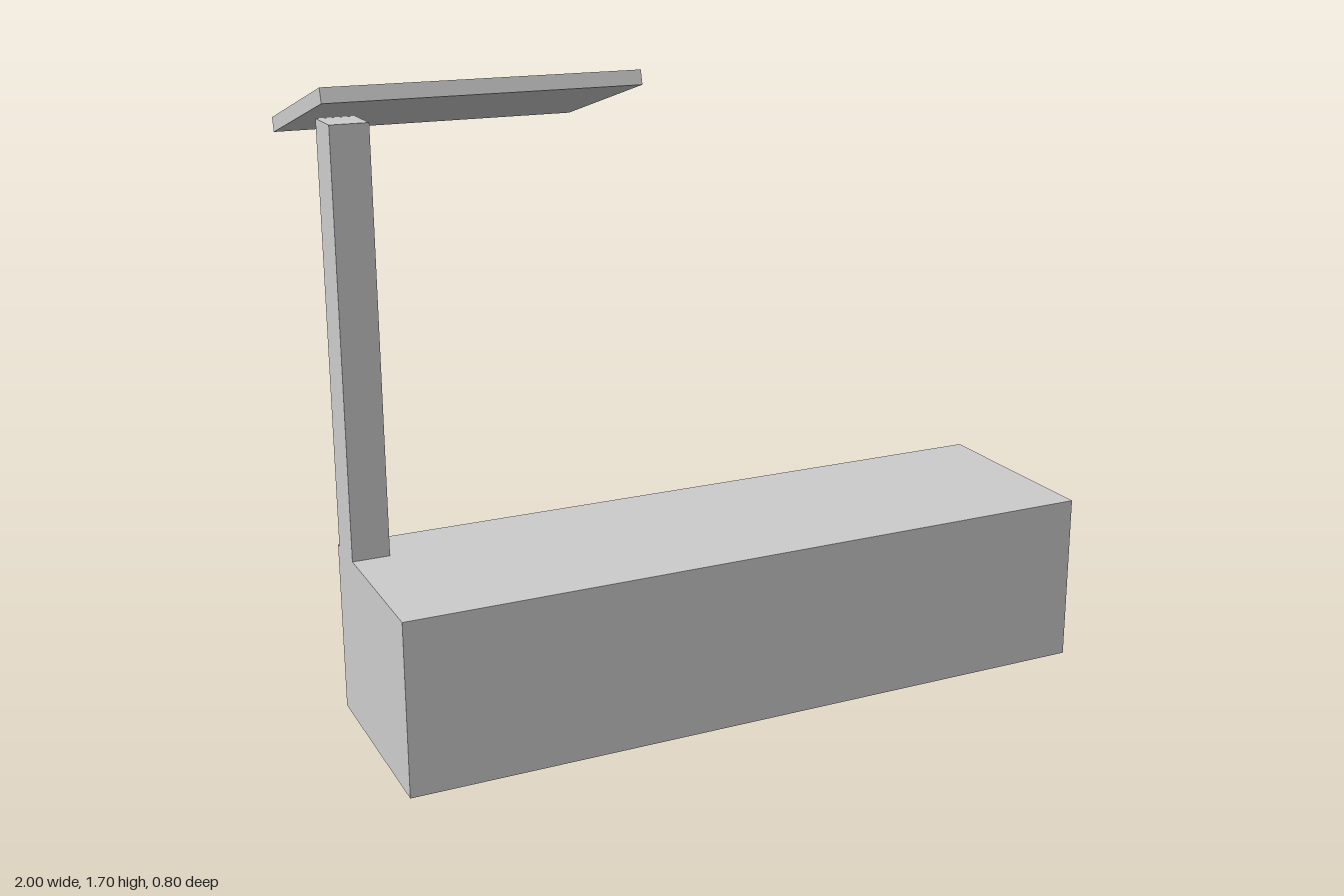
import * as THREE from 'three';

const grey = new THREE.MeshStandardMaterial({ color: 0xcccccc });
grey.name = 'light grey';

// Box given by its min and max on each axis
function block(name, [x0, x1], [y0, y1], [z0, z1]) {
  const mesh = new THREE.Mesh(new THREE.BoxGeometry(x1 - x0, y1 - y0, z1 - z0), grey);
  mesh.position.set((x0 + x1) / 2, (y0 + y1) / 2, (z0 + z1) / 2);
  mesh.name = name;
  return mesh;
}

export function createModel() {
  const model = new THREE.Group();
  model.name = 'blockWithTiltedPanel';

  // Long base and the post standing at its back right corner
  model.add(block('base', [-0.95, 1], [0, 0.465], [-0.164, 0.4]));
  model.add(block('post', [-0.95, -0.85], [0.465, 1.59], [-0.151, -0.027]));

  // Thin panel resting on the post, sloping down to the back
  const panel = block('panel', [-1, -0.183], [1.5935, 1.6315], [-0.4, 0.111]);
  panel.rotation.x = -THREE.MathUtils.degToRad(15);
  model.add(panel);

  return model;
}
